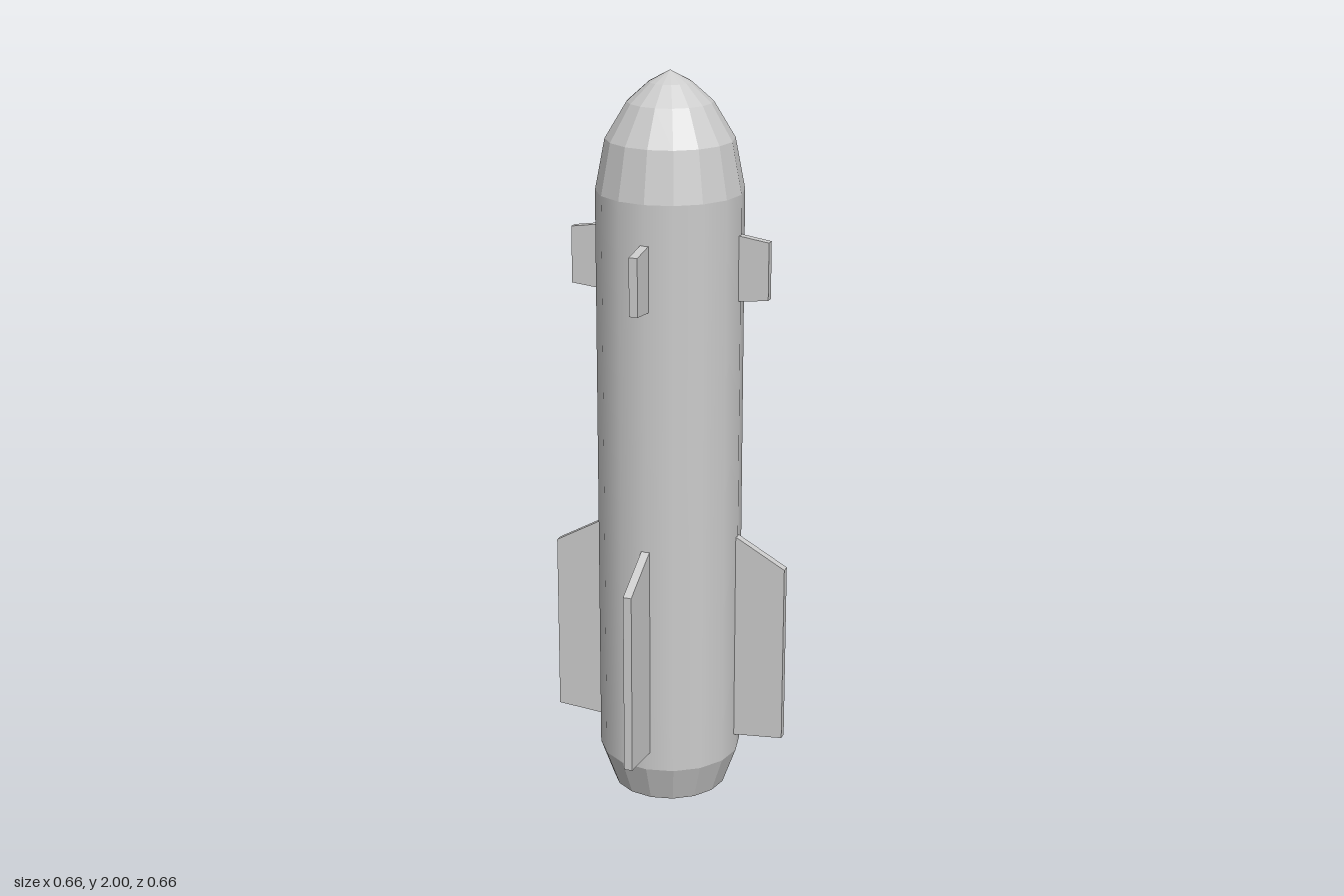
import * as THREE from 'three';

const SIDES = 16;
const RADIUS = 0.195;

const smooth = new THREE.MeshStandardMaterial({ color: 0xcccccc });
const flat = new THREE.MeshStandardMaterial({ color: 0xcccccc, flatShading: true });

// Surface of revolution from [radius, height] pairs, listed bottom to top for an outer skin
function lathe(name, points, material) {
  const profile = points.map(([r, y]) => new THREE.Vector2(r, y));
  const mesh = new THREE.Mesh(new THREE.LatheGeometry(profile, SIDES), material);
  mesh.name = name;
  return mesh;
}

// Thin plate in the x-y plane, centred on z = 0
function finGeometry(outline, thickness) {
  const shape = new THREE.Shape(outline.map(([x, y]) => new THREE.Vector2(x, y)));
  const geometry = new THREE.ExtrudeGeometry(shape, { depth: thickness, bevelEnabled: false });
  return geometry.translate(0, 0, -thickness / 2);
}

// Four copies of a fin around the body
function finSet(name, outline) {
  const group = new THREE.Group();
  group.name = name + 's';
  const geometry = finGeometry(outline, 0.023);
  for (let i = 0; i < 4; i++) {
    const fin = new THREE.Mesh(geometry, flat);
    fin.name = name;
    fin.rotation.y = (i * Math.PI) / 2;
    group.add(fin);
  }
  return group;
}

export function createModel() {
  const model = new THREE.Group();
  model.name = 'rocket';

  // Straight smooth body
  model.add(lathe('body', [[RADIUS, 0.105], [RADIUS, 1.69]], smooth));

  // Faceted rounded nose
  model.add(lathe('noseCone',
    [[RADIUS, 1.69], [0.169, 1.825], [0.112, 1.92], [0.056, 1.97], [0, 2]], flat));

  // Tapered tail and the hollow cone inside it
  model.add(lathe('tail', [[0.157, 0], [RADIUS, 0.105]], flat));
  model.add(lathe('nozzle', [[0, 0.21], [0.157, 0]], flat));

  // Large tail fins and small forward fins, roots sunk into the body
  model.add(finSet('tailFin', [[0.18, 0.157], [0.331, 0.17], [0.331, 0.672], [0.18, 0.757]]));
  model.add(finSet('forwardFin', [[0.18, 1.408], [0.274, 1.418], [0.274, 1.572], [0.18, 1.586]]));

  return model;
}
